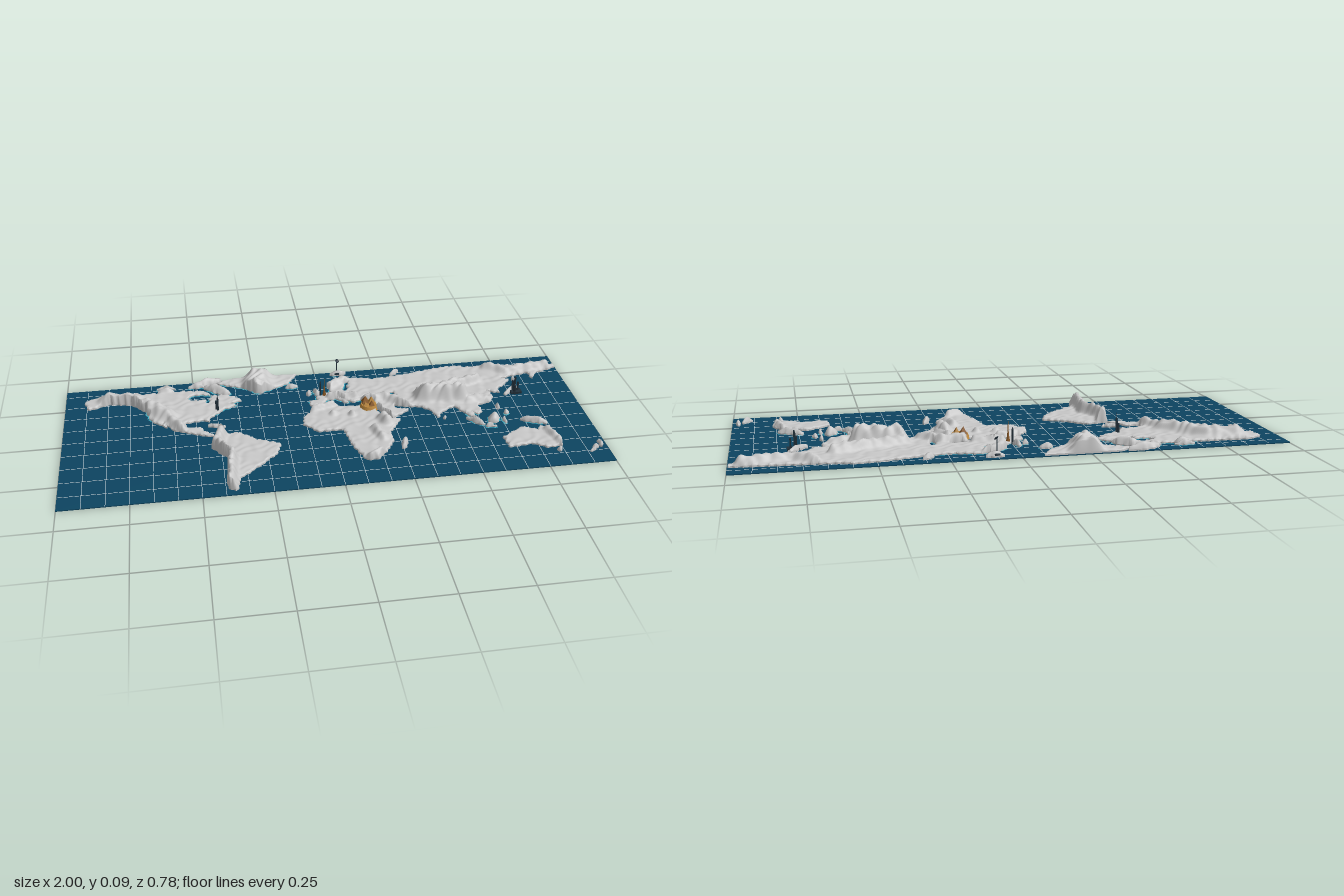
import * as THREE from 'three';
import { mergeVertices } from 'three/addons/utils/BufferGeometryUtils.js';

const mat = (name, color, side = THREE.FrontSide) => Object.assign(new THREE.MeshStandardMaterial({ color, side }), { name });
const M = {
  land: mat('land grey', 0xc8c8c8), ocean: mat('ocean blue', 0x0d4460), shallow: mat('shallow cyan', 0x3fb0c4),
  under: mat('underside teal', 0x478b93), line: mat('grid white', 0xe4e8ea), sand: mat('sand', 0xb8853c),
  bronze: mat('bronze', 0x8a5a28), dark: mat('dark steel', 0x22303a, THREE.DoubleSide),
};

// Map projection: degrees to plate coordinates
const X = (lon) => lon / 180, Z = (lat) => 0.068 - lat / 180;
const LAT0 = -58, LAT1 = 83;

// Rough continent outlines as lon, lat pairs; waves are added to the coast later
const northAmerica = [-167, 66, -156, 71, -128, 70, -95, 70, -82, 68, -78, 62, -65, 60, -56, 52, -66, 49, -61, 46, -70, 42, -76, 36, -81, 31,
  -80, 26, -84, 30, -97, 28, -97, 20, -88, 21, -83, 14, -77, 8, -86, 11, -105, 20, -113, 31, -110, 24, -121, 35, -124, 47, -134, 58, -150, 61, -164, 55];
const southAmerica = [-77, 8, -62, 10.5, -50, 0, -35, -7, -39, -18, -48, -27, -58, -36, -65, -42, -68, -55, -74, -51, -71, -19, -81, -5];
const africa = [-6, 36, 10, 37, 11, 33, 33, 31, 37, 21, 43, 12, 51, 12, 40, -4, 40, -15, 33, -27, 26, -34, 18, -34, 12, -17, 9, 4, -8, 4, -17, 14, -16, 22];
const eurasia = [-9, 43.5, -2, 43.5, -4, 48, 8, 54, 6, 62, 15, 69, 26, 71, 41, 67, 60, 69, 87, 75, 104, 77, 113, 74, 140, 72, 180, 69,
  180, 65, 163, 59, 157, 51, 157, 60, 135, 55, 141, 52, 128, 40, 128, 35, 119, 39, 122, 31, 118, 24, 108, 21, 109, 12, 105, 9, 101, 13, 104, 1,
  98, 9, 91, 22, 80, 15, 77, 8, 73, 20, 67, 25, 57, 27, 48, 30, 51, 25, 59, 22, 45, 13, 34.5, 30, 36, 36.5, 28, 37, 27, 41, 22.5, 37,
  13, 45, 3, 43, -1, 37, -9, 37];
const australia = [114, -22, 130, -12, 136, -15, 140, -17, 142.5, -11, 153, -26, 150, -37, 140, -38, 131, -32, 115, -34];
const greenland = [-73, 78, -60, 84, -13, 84, -22, 70, -44, 60, -54, 69];
const continents = [northAmerica, southAmerica, africa, eurasia, australia, greenland];

// Islands and inland seas as ellipses: lon, lat, two radii, tilt in degrees
const northIslands = [[-73, 68.5, 11, 3.5, -35], [-80, 79.5, 12, 2.8, 15], [-110, 71.5, 6, 2], [-110, 75.5, 7, 1], [-88, 75, 6, 0.8], [-19, 65, 4.5, 1.5],
  [-2.5, 54, 1.8, 4.3, 15], [-8, 53.3, 1.8, 1.5], [17, 78.5, 6, 1.6], [58, 73.5, 5, 1.2, 40], [-76, 20.7, 7, 0.9, -14], [14, 41, 5.5, 0.9, -42]];
const southIslands = [[46.7, -19, 1.8, 6.5, -18], [81, 7.5, 1, 1.7], [137, 37, 8.5, 1.3, 42], [143, 50, 0.8, 4], [121, 16, 1.2, 2.7], [125, 8, 1.6, 2],
  [101, 0, 8, 1.5, -45], [110, -7.3, 5, 0.7, -6], [114, 1, 3.6, 5, -35], [121, -2, 1.1, 3.5], [141, -5.5, 9.5, 2.2, -23], [176, -39, 1.3, 4], [170, -44, 4.5, 1.3, 42], [147, -42, 1.6, 1.4]];
const islands = [...northIslands, ...southIslands];
const seas = [[-86, 60, 8.5, 4.3], [-80.5, 54, 1.5, 3], [19, 57, 2, 3.5, -25], [20.5, 63, 1.6, 3, -20], [34, 43.3, 6, 2.2], [51, 42, 2.2, 5.3]];

// Mountain ranges: height, half width in degrees, then the crest line
const ranges = [[0.036, 6, -150, 63, -132, 60, -110, 38], [0.026, 3, -110, 38, -100, 20], [0.045, 3.3, -74, 8, -78, -5, -69, -20, -72, -52],
  [0.048, 9, -42, 79, -44, 67], [0.02, 3, 7, 60, 20, 69], [0.022, 2, 6, 46, 24, 44], [0.02, 2, -8, 31, 6, 35], [0.026, 3, 30, 38, 44, 39, 57, 28],
  [0.066, 5.5, 72, 35, 98, 31], [0.034, 3.5, 70, 40, 115, 53], [0.026, 3, 127, 70, 140, 62, 172, 66], [0.02, 3.5, 101, 27, 114, 27], [0.018, 2.5, 38, 27, 44, 15],
  [0.02, 2.3, 5, 23, 6, 23], [0.02, 2.3, 18, 21, 18, 20], [0.03, 4, 38, 12, 40, 7], [0.022, 3, 30, 0, 34, -12], [0.022, 3, 29, -29, 22, -32], [0.016, 2.3, 146, -18, 150, -35]];

const inOutline = (p, x, y) => {
  let hit = false;
  for (let i = 0, j = p.length - 2; i < p.length; j = i, i += 2)
    if (p[i + 1] > y !== p[j + 1] > y && x < (p[j] - p[i]) * (y - p[i + 1]) / (p[j + 1] - p[i + 1]) + p[i]) hit = !hit;
  return hit;
};
// Squared distance from an ellipse centre: 1 on the rim
const ellipse = ([cx, cy, rx, ry, tilt = 0], x, y) => {
  const a = tilt * Math.PI / 180, u = x - cx, v = y - cy;
  return ((u * Math.cos(a) + v * Math.sin(a)) / rx) ** 2 + ((v * Math.cos(a) - u * Math.sin(a)) / ry) ** 2;
};
const isLand = (lon, lat) => {
  if (Math.abs(lon) > 179.6 || lat > LAT1 - 0.4 || lat < LAT0 + 0.4) return false;
  const x = lon + 0.5 * Math.sin(lat * 1.3 + lon * 0.6), y = lat + 0.4 * Math.sin(lon * 1.2 - lat * 0.6);
  if (islands.some((e) => ellipse(e, x, y) < 1)) return true;
  return continents.some((p) => inOutline(p, x, y)) && !seas.some((e) => ellipse(e, x, y) < 1);
};
const toSegment = (x, y, ax, ay, bx, by) => {
  const dx = bx - ax, dy = by - ay, t = THREE.MathUtils.clamp(((x - ax) * dx + (y - ay) * dy) / (dx * dx + dy * dy), 0, 1);
  return Math.hypot(x - ax - dx * t, y - ay - dy * t);
};
// Gently rolling plains, ridged ranges and domed islands
const relief = (lon, lat) => {
  const n = Math.sin(lon * 0.55 + 2 * Math.sin(lat * 0.3)) * Math.sin(lat * 0.6 + Math.sin(lon * 0.35));
  let h = 0;
  for (const [top, w, ...p] of ranges) {
    let d = 1e9;
    for (let i = 0; i + 3 < p.length; i += 2) d = Math.min(d, toSegment(lon, lat, p[i], p[i + 1], p[i + 2], p[i + 3]));
    h = Math.max(h, top * Math.exp(-Math.pow(d / w, 3)));
  }
  for (const e of islands) h = Math.max(h, (0.008 + 0.004 * Math.min(e[2], e[3])) * (1 - ellipse(e, lon, lat)));
  return 0.0145 + 0.002 * n + h * (0.92 + 0.14 * n);
};
// Coasts that carry a broken line of shallow water
const isShelf = (lon, lat) => Math.sin(lon * 0.8) + Math.cos(lat * 0.9) > -0.5
  && ((lon > -124 && lon < 55 && lat > 35 && lat < 77) || (lon > 97 && lon < 150 && Math.abs(lat) < 12));

// Walks a degree grid, cutting each cell along the coast
function buildLand(group) {
  const top = [], wall = [], under = [], shore = [], EDGE = 0.01, inside = [], high = [];
  const key = ([lon, lat]) => (lat - LAT0) * 361 + lon + 180;
  for (let j = LAT0; j <= LAT1; j++) for (let i = -180; i <= 180; i++) {
    const k = key([i, j]);
    inside[k] = isLand(i, j);
    if (inside[k]) high[k] = relief(i, j);
  }
  const crossing = (land, sea) => {
    for (let n = 0; n < 7; n++) {
      const m = [(land[0] + sea[0]) / 2, (land[1] + sea[1]) / 2];
      if (isLand(...m)) land = m; else sea = m;
    }
    return land;
  };
  const put = (list, p, y) => list.push(X(p[0]), y, Z(p[1]));
  const quad = (list, p, q, y0, r, s, y1) =>
    [[p, y0], [q, y0], [r, y1], [p, y0], [r, y1], [s, y1]].forEach(([v, y]) => put(list, v, y));
  for (let j = LAT0; j < LAT1; j++) for (let i = -180; i < 180; i++) {
    const c = [[i, j], [i + 1, j], [i + 1, j + 1], [i, j + 1]], poly = [];
    c.forEach((a, n) => {
      const b = c[(n + 1) % 4], ia = inside[key(a)], ib = inside[key(b)];
      if (ia) poly.push({ p: a, y: high[key(a)] });
      if (ia !== ib) poly.push({ p: ia ? crossing(a, b) : crossing(b, a), y: EDGE, exit: ia, enter: ib });
    });
    for (let n = 1; n + 1 < poly.length; n++) {
      [poly[0], poly[n], poly[n + 1]].forEach((v) => put(top, v.p, v.y));
      [poly[0], poly[n + 1], poly[n]].forEach((v) => put(under, v.p, 0));
    }
    poly.forEach((a, n) => {
      const b = poly[(n + 1) % poly.length];
      if (!a.exit || !b.enter) return;
      quad(wall, a.p, b.p, 0, b.p, a.p, EDGE);
      if (!isShelf(...a.p)) return;
      const dx = b.p[0] - a.p[0], dy = b.p[1] - a.p[1], l = Math.hypot(dx, dy) || 1;
      const out = (v) => [v[0] + dy / l * 0.8, v[1] - dx / l * 0.8];
      quad(shore, out(a.p), out(b.p), 0.0055, b.p, a.p, 0.0055);
    });
  }
  const add = (name, list, material, smooth) => {
    let g = new THREE.BufferGeometry().setAttribute('position', new THREE.Float32BufferAttribute(list, 3));
    if (smooth) g = mergeVertices(g, 1e-5);
    g.computeVertexNormals();
    const m = new THREE.Mesh(g, material);
    m.name = name;
    group.add(m);
  };
  add('landRelief', top, M.land, true);
  add('coastWall', wall, M.land);
  add('landUnderside', under, M.under);
  add('shallowWater', shore, M.shallow);
}

export function createModel() {
  const model = new THREE.Group();
  const part = (name, geo, material, x, y, z, parent = model) => {
    const m = new THREE.Mesh(geo, material);
    m.name = name;
    m.position.set(x, y, z);
    parent.add(m);
    return m;
  };
  const box = (name, w, h, d, material, x, y, z) => part(name, new THREE.BoxGeometry(w, h, d), material, x, y + h / 2, z);
  const profile = (sides, ...rows) => new THREE.LatheGeometry(rows.map(([r, y]) => new THREE.Vector2(r, y)), sides);

  // Ocean plate and the 15 degree grid
  box('oceanPlate', 2, 0.0035, 0.784, M.ocean, 0, 0.0005, 0);
  for (let k = -11; k <= 11; k++) box('meridian', 0.0016, 0.0006, 0.784, M.line, k / 12, 0.004, 0);
  for (let k = -3; k <= 5; k++) box('parallel', 2, 0.0006, 0.0016, M.line, 0, 0.004, Z(k * 15));
  buildLand(model);

  // Desert pyramids, shrinking around a sand mound
  const px = X(31), pz = Z(29.5);
  part('sandMound', new THREE.CylinderGeometry(0.03, 0.038, 0.02, 14), M.sand, px, 0.016, pz);
  for (let i = 0; i < 4; i++) {
    const a = 4 + i * 1.6, h = 0.028 - i * 0.004;
    const cone = new THREE.ConeGeometry(h * 0.7, h, 4).toNonIndexed();
    cone.computeVertexNormals();
    part('pyramid', cone, i % 2 ? M.sand : M.bronze, px + 0.017 * Math.cos(a), 0.026 + h / 2, pz + 0.017 * Math.sin(a)).rotation.y = Math.PI / 4;
  }

  // City towers spiral outwards from the tallest
  const city = (name, lon, lat, count, tallest) => {
    for (let i = 0; i < count; i++)
      box(name, 0.006, tallest / (1 + i * 0.2), 0.006, M.dark, X(lon) + 0.005 * i * Math.cos(i * 2), 0.005, Z(lat) + 0.004 * i * Math.sin(i * 2));
  };
  city('eastTower', 139, 35, 5, 0.07);
  box('eastBase', 0.044, 0.01, 0.03, M.dark, X(140), 0.003, Z(35));
  city('westTower', -74, 41, 3, 0.062);
  part('westSpire', new THREE.CylinderGeometry(0.0004, 0.0015, 0.024, 6), M.dark, X(-74), 0.078, Z(41));
  city('clockTower', 0, 51.5, 1, 0.055);
  part('clockSpire', new THREE.ConeGeometry(0.0035, 0.012, 4), M.dark, 0, 0.066, Z(51.5));

  // Tower with a flared foot
  part('flaredTower', profile(4, [0.008, 0], [0.004, 0.02], [0.002, 0.042], [0.0007, 0.075]), M.bronze, X(2.4), 0.013, Z(48.8));

  // Polar dish antenna
  const dish = new THREE.Group();
  dish.name = 'dishAntenna';
  dish.position.set(X(16), 0.012, Z(78.5));
  model.add(dish);
  part('dishBase', new THREE.CylinderGeometry(0.012, 0.014, 0.006, 10), M.dark, 0, 0.003, 0, dish);
  part('dishPost', new THREE.CylinderGeometry(0.0015, 0.0025, 0.055, 8), M.dark, 0, 0.03, 0, dish);
  part('dishBowl', profile(14, [0, 0], [0.005, 0.001], [0.009, 0.004]), M.dark, 0, 0.058, 0, dish).rotation.set(0.7, 0, -0.5);
  return model;
}
